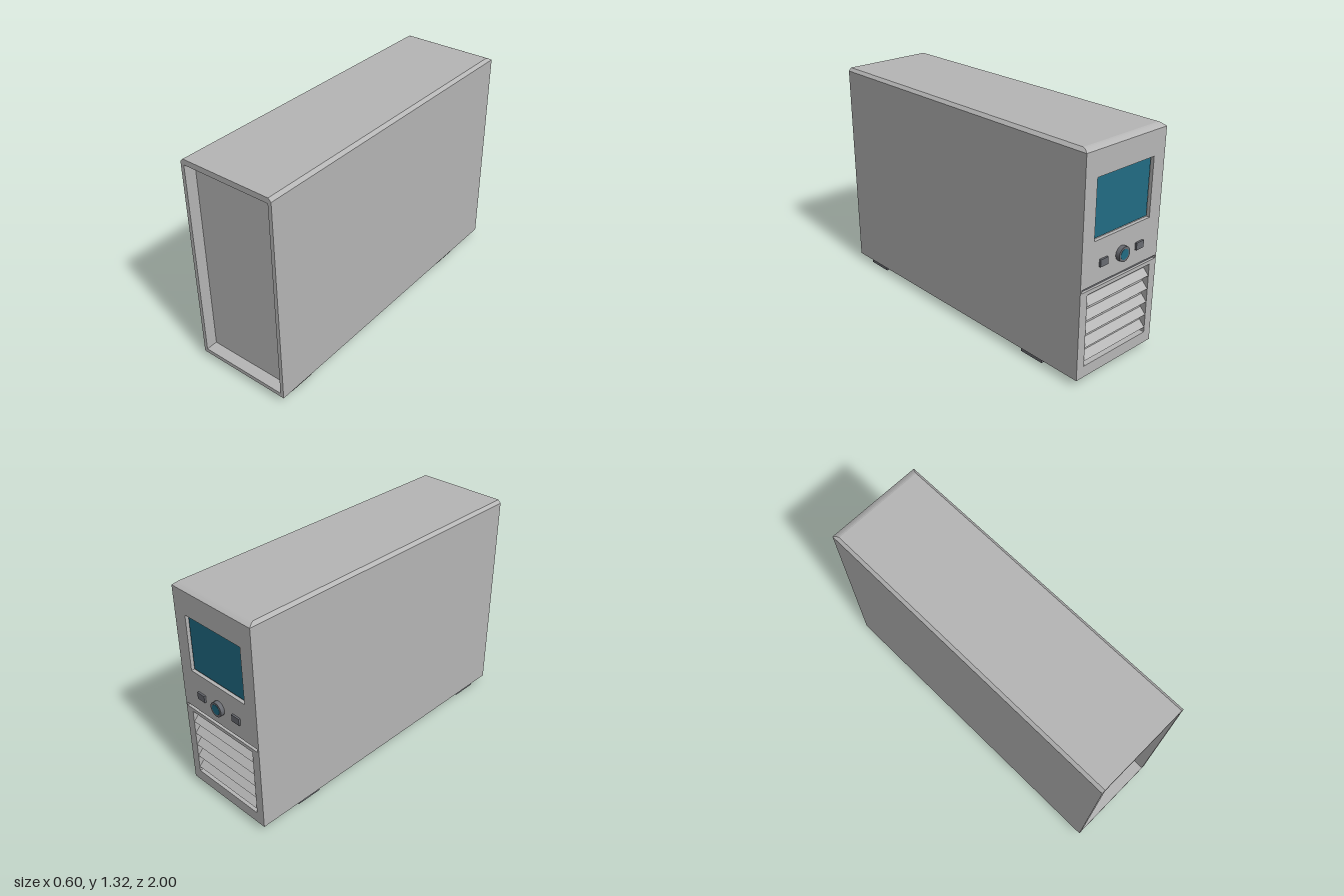
import * as THREE from 'three';

const W = 0.3, BOTTOM = 0.04, TOP = 1.32, CH = 0.018;
const BACK = -0.975, PLATE = 0.04, CORE_BACK = BACK + PLATE, CORE_FRONT = 0.93;

// Case cross-section with chamfered top corners and optional rectangular holes
function caseShape(holes = []) {
  const s = new THREE.Shape([
    [-W, BOTTOM], [W, BOTTOM], [W, TOP - CH], [W - CH, TOP], [-W + CH, TOP], [-W, TOP - CH],
  ].map(([x, y]) => new THREE.Vector2(x, y)));
  for (const [hw, y0, y1] of holes) {
    s.holes.push(new THREE.Path([
      [-hw, y0], [-hw, y1], [hw, y1], [hw, y0],
    ].map(([x, y]) => new THREE.Vector2(x, y))));
  }
  return s;
}

function slab(shape, z0, z1, steps = 1) {
  const g = new THREE.ExtrudeGeometry(shape, { depth: z1 - z0, bevelEnabled: false, steps });
  return g.translate(0, 0, z0);
}

export function createModel() {
  const model = new THREE.Group();
  model.name = 'towerCase';

  const mat = (name, color) => {
    const m = new THREE.MeshStandardMaterial({ color });
    m.name = name;
    return m;
  };
  const grey = mat('caseGrey', 0xb6b6b6);
  const dark = mat('darkGrey', 0x686a70);
  const teal = mat('displayTeal', 0x216c84);

  const add = (name, geometry, material, x = 0, y = 0, z = 0) => {
    const mesh = new THREE.Mesh(geometry, material);
    mesh.name = name;
    mesh.position.set(x, y, z);
    model.add(mesh);
    return mesh;
  };
  const box = (name, material, w, h, d, x, y, z) =>
    add(name, new THREE.BoxGeometry(w, h, d), material, x, y, z);

  // Main case and the rim around the recessed front panel
  add('caseBody', slab(caseShape(), CORE_BACK, CORE_FRONT), grey);
  add('frontRim', slab(caseShape([[0.278, 0.065, 1.287]]), CORE_FRONT, 1), grey);

  // Control face: openings for display, groove and vent; top edge curves down
  const plate = slab(caseShape([
    [0.214, 0.82, 1.16], [0.29, 0.555, 0.575], [0.247, 0.108, 0.533],
  ]), BACK, CORE_BACK, 4);
  const p = plate.attributes.position;
  for (let i = 0; i < p.count; i++) {
    if (p.getY(i) < TOP - 0.001) continue;
    const t = (CORE_BACK - p.getZ(i)) / PLATE;
    const drop = CH * Math.pow(t, 1.5);
    p.setY(i, TOP - drop);
    p.setX(i, Math.sign(p.getX(i)) * (W - CH + drop));
  }
  plate.computeVertexNormals();
  add('controlFace', plate, grey);

  // Display set into its opening
  box('displayBed', grey, 0.428, 0.34, 0.02, 0, 0.99, CORE_BACK - 0.01);
  box('displayScreen', teal, 0.412, 0.324, 0.006, 0, 0.99, CORE_BACK - 0.022);

  // Dark strip inside the groove
  box('grooveStrip', dark, 0.58, 0.02, 0.025, 0, 0.565, CORE_BACK - 0.0125);

  // Vent louvres, sloping down and outwards
  for (let i = 0; i < 5; i++) {
    const slat = box('ventSlat', grey, 0.492, 0.052, 0.008, 0, 0.155 + i * 0.081, BACK + 0.021);
    slat.rotation.x = Math.PI / 4;
  }

  // Round knob with teal cap, and a button on each side
  const knob = add('knob', new THREE.CylinderGeometry(0.043, 0.043, 0.025, 32), dark, 0, 0.687, BACK - 0.0115);
  knob.rotation.x = -Math.PI / 2;
  const cap = add('knobCap', new THREE.CylinderGeometry(0.03, 0.03, 0.004, 32), teal, 0, 0.687, BACK - 0.023);
  cap.rotation.x = -Math.PI / 2;
  for (const side of [-1, 1]) {
    box('button', dark, 0.058, 0.042, 0.016, side * 0.14, 0.687, BACK - 0.003);
    // Feet
    for (const z of [0.822, -0.615]) {
      box('foot', dark, 0.095, BOTTOM, 0.163, side * 0.228, BOTTOM / 2, z);
    }
  }
  return model;
}
